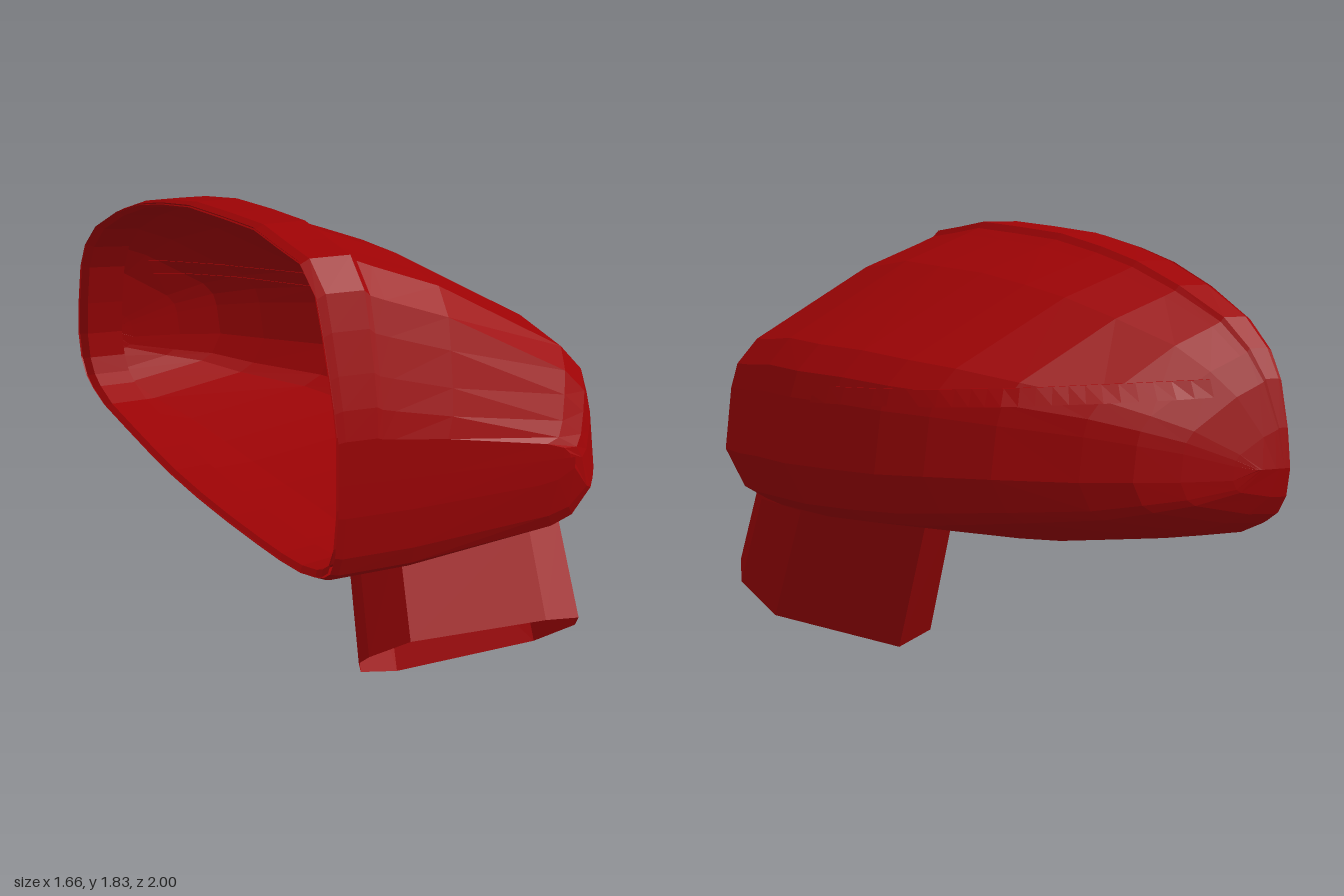
import * as THREE from 'three';

// Rim plane: x of the opening at a given z
const rimX = z => -0.53 + 0.307 * z;

// Housing sections from back to front: [z, outermost x, bottom y, top y]
const sections = [
  [-1.0, -0.7, 0.95, 0.95], [-0.985, -0.6, 0.84, 1.1], [-0.95, -0.4, 0.77, 1.28], [-0.9, -0.23, 0.73, 1.39],
  [-0.8, -0.06, 0.68, 1.5], [-0.62, 0.21, 0.64, 1.61], [-0.43, 0.4, 0.6, 1.695], [-0.26, 0.53, 0.57, 1.745],
  [-0.05, 0.64, 0.548, 1.79], [0.18, 0.74, 0.535, 1.81], [0.4, 0.785, 0.53, 1.825], [0.55, 0.81, 0.53, 1.8],
  [0.69, 0.825, 0.54, 1.78], [0.79, 0.795, 0.565, 1.68], [0.83, 0.775, 0.585, 1.55], [0.87, 0.75, 0.62, 1.4],
  [0.9, 0.72, 0.7, 1.28], [0.92, 0.66, 0.87, 1.17], [0.921, 0.66, 1.0, 1.0],
];

// Arch of each section from the rim top, around the outside, to the rim bottom:
// [share of width, share of height], with a small step behind the rim band
const arch = [
  [0, 0.985], [0.03, 1], [0.16, 1], [0.18, 0.98], [0.23, 0.96], [0.45, 0.88], [0.875, 0.65], [0.95, 0.57],
  [0.975, 0.49], [1, 0.286], [0.93, 0.154], [0.85, 0.108], [0.31, 0.015], [0.03, 0], [0, 0.012],
];

// Skin a list of rings; closed wraps each ring
function loft(rings, closed) {
  const n = rings[0].length;
  const index = [];
  const last = closed ? n : n - 1;
  for (let i = 0; i < rings.length - 1; i++) {
    for (let j = 0; j < last; j++) {
      const k = (j + 1) % n;
      const a = i * n + j, b = i * n + k;
      index.push(a, a + n, b, b, a + n, b + n);
    }
  }
  const geometry = new THREE.BufferGeometry();
  geometry.setAttribute('position', new THREE.Float32BufferAttribute(rings.flat(2), 3));
  geometry.setIndex(index);
  geometry.computeVertexNormals();
  return geometry;
}

// Rim outline from the front, over the top, to the back and under,
// scaled about its middle and set at depth d behind the rim plane
function rimRing(d, scale) {
  const top = sections.map(([z, , , y]) => [z, y]).reverse();
  const bottom = sections.slice(1, -1).map(([z, , y]) => [z, y]);
  return [...top, ...bottom].map(([z, y]) => {
    const pz = -0.04 + (z + 0.04) * scale;
    return [rimX(pz) + d, 1.17 + (y - 1.17) * scale, pz];
  });
}

export function createModel() {
  const group = new THREE.Group();
  const paint = new THREE.MeshStandardMaterial({ color: 0x9e0305, flatShading: true, side: THREE.DoubleSide });
  const add = (name, geometry) => {
    const mesh = new THREE.Mesh(geometry, paint);
    mesh.name = name;
    group.add(mesh);
    return mesh;
  };

  // Bulging housing, open towards the rim
  const housing = add('housing', loft(sections.map(([z, outer, y0, y1]) => arch.map(([u, v]) => [
    THREE.MathUtils.lerp(rimX(z), outer, u), THREE.MathUtils.lerp(y0, y1, v), z,
  ])), false));

  // Lip folded back into the opening
  add('innerLip', loft([rimRing(0.16, 0.935), rimRing(0.02, 0.955), rimRing(0, 0.985)], true));

  // Slim lamp strip wrapped around the back, laid just above the housing skin
  const ray = new THREE.Raycaster();
  const onSkin = (angle, y, lift) => {
    const out = new THREE.Vector3(Math.cos(angle), 0, -Math.sin(angle));
    const far = new THREE.Vector3(-0.4, y, 0).addScaledVector(out, 3);
    ray.set(far, out.clone().negate());
    return ray.intersectObject(housing)[0].point.addScaledVector(out, lift).toArray();
  };
  housing.updateMatrixWorld();
  const strip = [];
  const steps = 24;
  for (let i = 0; i <= steps; i++) {
    const t = i / steps;
    const angle = -0.06 + t * 1.78;
    const low = 1.15 + 0.07 * t;
    const high = low + (i === 0 ? 0.03 : 0.065);
    strip.push([
      onSkin(angle, high, -0.005), onSkin(angle, high, 0.01),
      onSkin(angle, low, 0.01), onSkin(angle, low, -0.005),
    ]);
  }
  add('lampStrip', loft(strip.reverse(), false));

  // Hollow mounting arm, cut at a slant and running up into the housing
  const foot = [
    [0.705, 0.28], [0.68, 0.36], [0.54, 0.38], [0.03, 0.335], [-0.09, 0.22],
    [-0.11, 0.16], [-0.065, 0.05], [0.1, 0], [0.6, 0.15],
  ].map(([x, y]) => [x, y, 0.575 + 1.06 * y + 0.035 * x]);
  const head = foot.map(([x, y, z]) => {
    const rise = 0.62 - 0.8 * y;
    return [0.3 + (x - 0.3) * (1 - 0.15 * rise), y + rise, z - 0.58 * rise];
  });
  add('mountingArm', loft([foot, head], true));

  return group;
}
